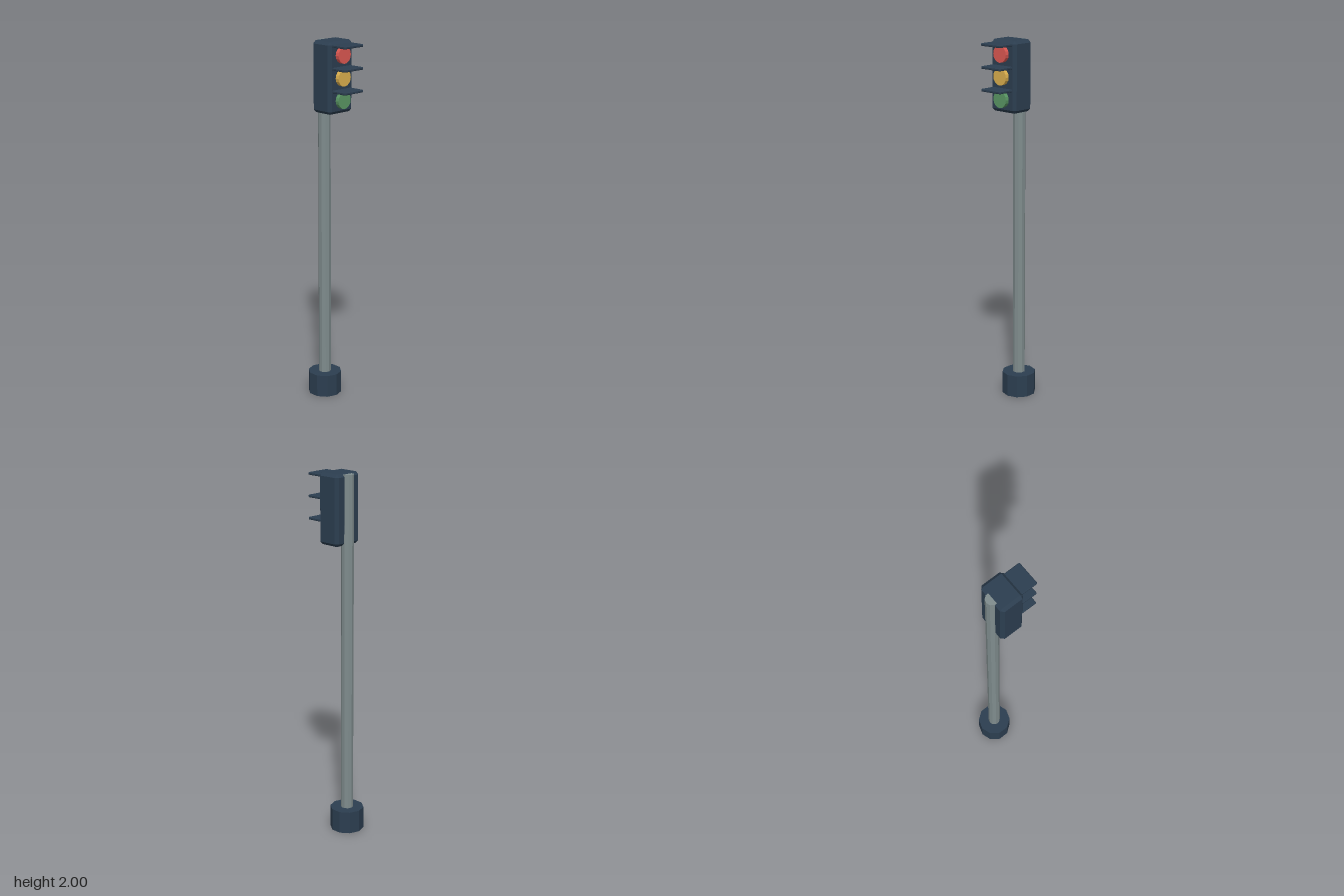
import * as THREE from 'three';
import { ConvexGeometry } from 'three/addons/geometries/ConvexGeometry.js';

function material(name, color) {
  const m = new THREE.MeshStandardMaterial({ color, flatShading: true });
  m.name = name;
  return m;
}

// Box with every edge cut at 45 degrees by c
function chamferBox(w, h, d, c) {
  const points = [];
  for (const x of [-1, 1]) for (const y of [-1, 1]) for (const z of [-1, 1]) {
    for (let full = 0; full < 3; full++) {
      const half = [w / 2, h / 2, d / 2].map((v, i) => (i === full ? v : v - c));
      points.push(new THREE.Vector3(x * half[0], y * half[1], z * half[2]));
    }
  }
  return new ConvexGeometry(points);
}

export function createModel() {
  const model = new THREE.Group();
  model.name = 'trafficLight';
  const navy = material('darkNavy', 0x2c3e50);
  const grey = material('poleGrey', 0x7f8c8d);
  const lampColours = [
    ['red', material('lampRed', 0xdc5852)],
    ['amber', material('lampAmber', 0xdcb04e)],
    ['green', material('lampGreen', 0x5a9764)],
  ];

  function add(name, geometry, mat, x, y, z) {
    const mesh = new THREE.Mesh(geometry, mat);
    mesh.name = name;
    mesh.position.set(x, y, z);
    model.add(mesh);
    return mesh;
  }

  // Base and pole stand behind the lamp housing
  const poleZ = -0.065;
  add('base', new THREE.CylinderGeometry(0.093, 0.093, 0.125, 10), navy, 0, 0.0625, poleZ);
  add('pole', new THREE.CylinderGeometry(0.034, 0.034, 1.994, 10), grey, 0, 0.998, poleZ);

  // Lamp housing
  add('housing', chamferBox(0.174, 0.38, 0.137, 0.016), navy, 0, 1.81, -0.0035);

  // Lamps, each under a flat visor
  lampColours.forEach(([name, mat], i) => {
    const y = 1.929 - i * 0.119;
    const lamp = add(name + 'Lamp', new THREE.CylinderGeometry(0.045, 0.045, 0.034, 16), mat, 0, y, 0.07);
    lamp.rotation.x = Math.PI / 2;
    add(name + 'Visor', chamferBox(0.136, 0.014, 0.106, 0.003), navy, 0, y + 0.051, 0.103);
  });

  return model;
}
